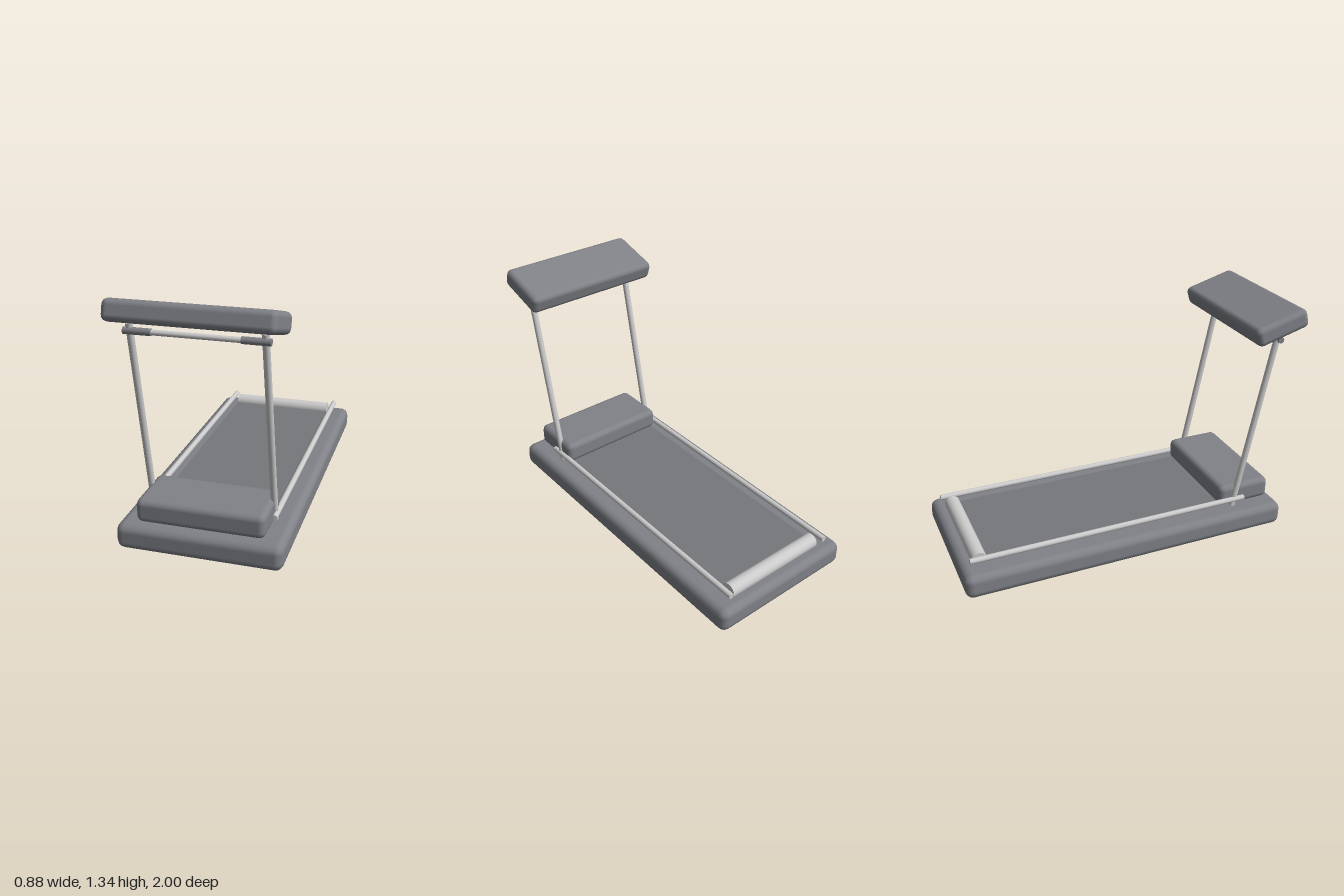
import * as THREE from 'three';
import { RoundedBoxGeometry } from 'three/addons/geometries/RoundedBoxGeometry.js';

const metal = new THREE.MeshStandardMaterial({ color: 0xcccccc });
const plastic = new THREE.MeshStandardMaterial({ color: 0x808288 });
const rubber = new THREE.MeshStandardMaterial({ color: 0x75777b });

export function createModel() {
  const model = new THREE.Group();
  model.name = 'treadmill';

  function add(name, geometry, material, x, y, z) {
    const mesh = new THREE.Mesh(geometry, material);
    mesh.name = name;
    mesh.position.set(x, y, z);
    model.add(mesh);
    return mesh;
  }

  function roundedBox(name, w, h, d, radius, y, z) {
    return add(name, new RoundedBoxGeometry(w, h, d, 2, radius), plastic, 0, y, z);
  }

  // Straight round bar between two points
  function bar(name, from, to, radius, material = metal) {
    const a = new THREE.Vector3(...from);
    const b = new THREE.Vector3(...to);
    const geometry = new THREE.CylinderGeometry(radius, radius, a.distanceTo(b), 24);
    const mid = a.clone().add(b).multiplyScalar(0.5);
    const mesh = add(name, geometry, material, mid.x, mid.y, mid.z);
    mesh.quaternion.setFromUnitVectors(new THREE.Vector3(0, 1, 0), b.sub(a).normalize());
    return mesh;
  }

  // Deck, motor cover and running belt with its rear roller
  roundedBox('deck', 0.88, 0.142, 1.925, 0.045, 0.071, -0.0375);
  roundedBox('motorCover', 0.68, 0.13, 0.325, 0.035, 0.21, 0.718);
  add('runningBelt', new THREE.BoxGeometry(0.62, 0.02, 1.5), rubber, 0, 0.146, -0.14);
  bar('rearRoller', [-0.31, 0.157, -0.89], [0.31, 0.157, -0.89], 0.043);

  // Side rails, leaning posts and hand grips, mirrored
  for (const s of [-1, 1]) {
    const side = s > 0 ? 'left' : 'right';
    bar(side + 'SideRail', [s * 0.345, 0.185, 0.71], [s * 0.345, 0.185, -0.95], 0.016);
    bar(side + 'Post', [s * 0.333, 0.14, 0.64], [s * 0.333, 1.2, 0.86], 0.018);
    bar(side + 'Grip', [s * 0.22, 1.16, 0.862], [s * 0.362, 1.16, 0.862], 0.018, plastic);
  }
  bar('handlebar', [-0.35, 1.16, 0.862], [0.35, 1.16, 0.862], 0.014);

  // Tilted console
  const console_ = roundedBox('console', 0.835, 0.11, 0.322, 0.032, 1.248, 0.838);
  console_.rotation.x = -0.28;

  return model;
}
